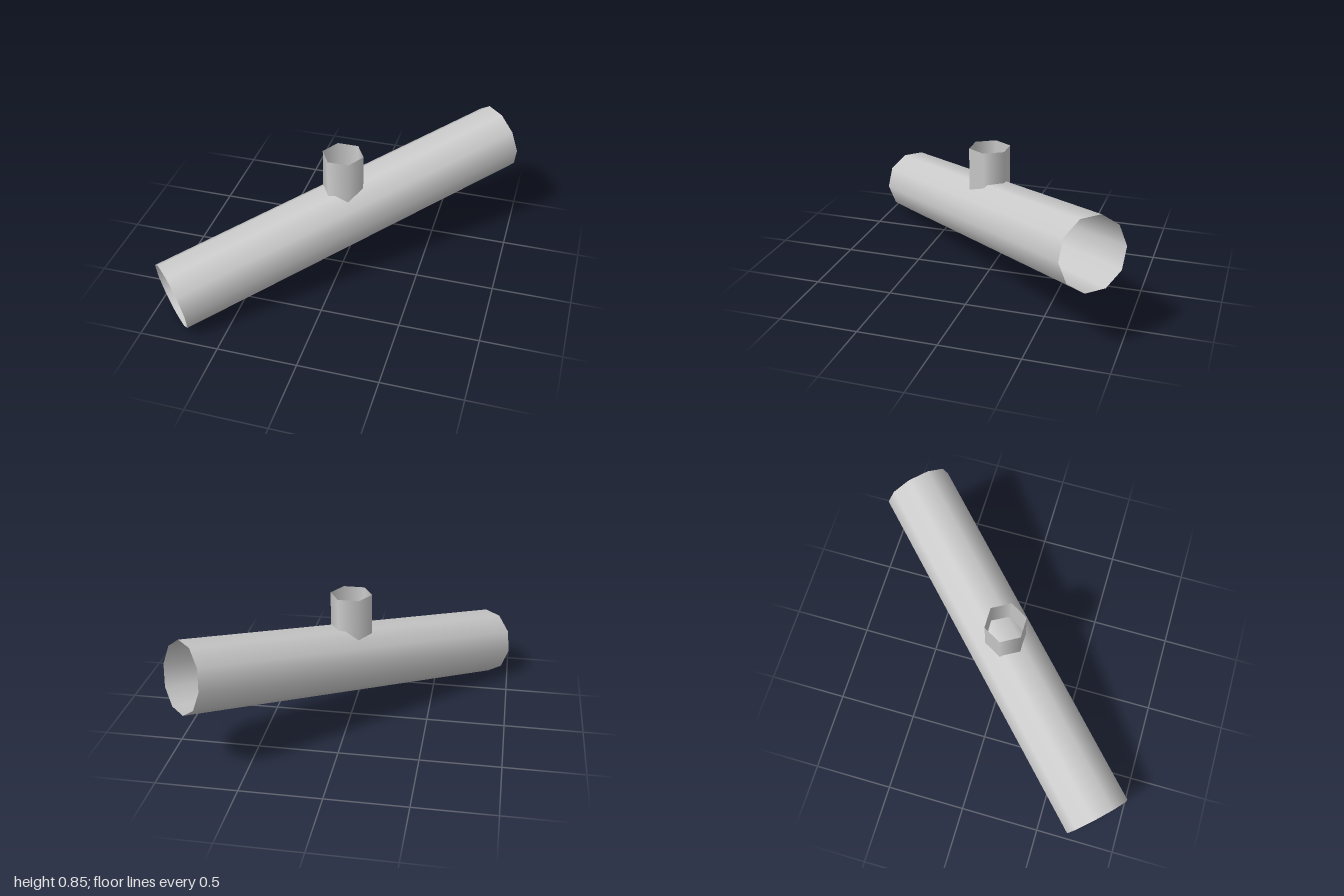
import * as THREE from 'three';

export function createModel() {
  const model = new THREE.Group();
  const grey = new THREE.MeshStandardMaterial({ color: 0xcccccc, side: THREE.DoubleSide });
  grey.name = 'light grey';

  // Open-ended tube standing on the y axis
  const openTube = (name, radius, length, sides) => {
    const geometry = new THREE.CylinderGeometry(radius, radius, length, sides, 1, true);
    const mesh = new THREE.Mesh(geometry, grey);
    mesh.name = name;
    model.add(mesh);
    return mesh;
  };

  // Main pipe: laid along x, tilted up ten degrees, turned across the diagonal
  const tilt = THREE.MathUtils.degToRad(10);
  const mainPipe = openTube('mainPipe', 0.219, 2.427, 10);
  mainPipe.geometry.rotateZ(-Math.PI / 2).rotateZ(tilt).rotateY(Math.PI / 4);
  mainPipe.position.y = 0.416;

  // Upright branch: six-sided, sunk just through the top wall of the main pipe
  const top = 0.855, bottom = 0.565;
  const branchPipe = openTube('branchPipe', 0.131, top - bottom, 6);
  branchPipe.geometry.rotateY(Math.PI / 2);
  branchPipe.position.y = (top + bottom) / 2;

  return model;
}
